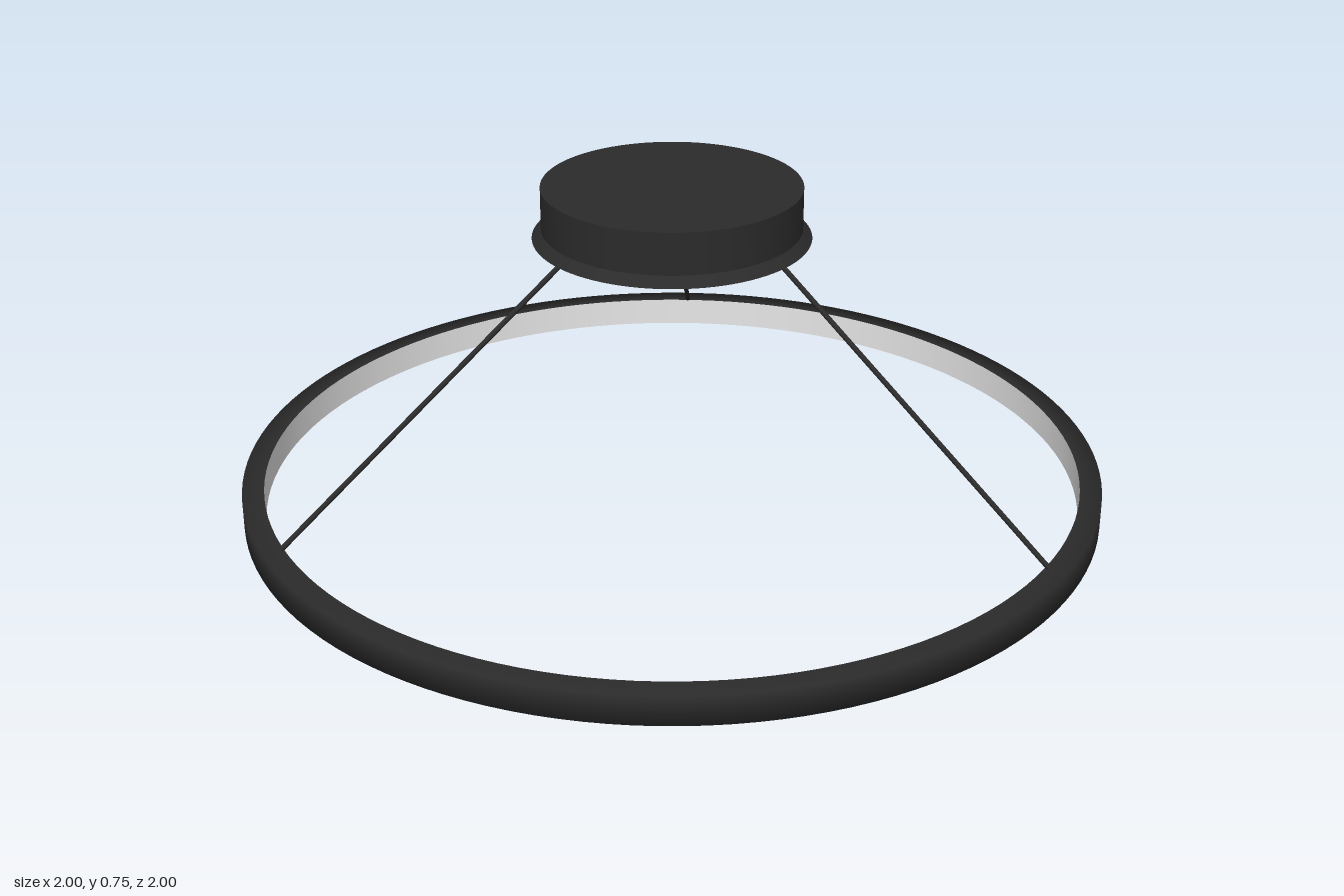
import * as THREE from 'three';

export function createModel() {
  const group = new THREE.Group();
  const black = new THREE.MeshStandardMaterial({ color: 0x2b2b2b });
  black.name = 'matte black';
  const white = new THREE.MeshStandardMaterial({ color: 0xf0f0f0, side: THREE.DoubleSide });
  white.name = 'diffuser white';

  const add = (name, geometry, material, y = 0) => {
    const mesh = new THREE.Mesh(geometry, material);
    mesh.name = name;
    mesh.position.y = y;
    group.add(mesh);
    return mesh;
  };
  const lathe = (points) =>
    new THREE.LatheGeometry(points.map(([r, y]) => new THREE.Vector2(r, y)), 128);

  // Ring housing: channel open towards the centre
  add('ringHousing', lathe([[0.95, 0], [1, 0], [1, 0.07], [0.95, 0.07]]), black);

  // Light strip lining the inside of the ring
  add('lightStrip', lathe([[0.95, 0.07], [0.95, 0]]), white);

  // Ceiling canopy with a flared lower rim
  add('canopy', new THREE.CylinderGeometry(0.295, 0.295, 0.115, 96), black, 0.6975);
  add('canopyRim', new THREE.CylinderGeometry(0.295, 0.316, 0.022, 96), black, 0.646);

  // Three suspension cables: [top x, top z, bottom x, bottom z]
  const cables = [
    [0.25, 0.025, 0.955, 0.143],
    [-0.15, 0.205, -0.602, 0.75],
    [-0.108, -0.23, -0.352, -0.895],
  ];
  for (const [tx, tz, bx, bz] of cables) {
    const top = new THREE.Vector3(tx, 0.64, tz);
    const bottom = new THREE.Vector3(bx, 0.066, bz);
    const path = new THREE.LineCurve3(bottom, top);
    add('cable', new THREE.TubeGeometry(path, 1, 0.006, 10), black);
  }
  return group;
}
